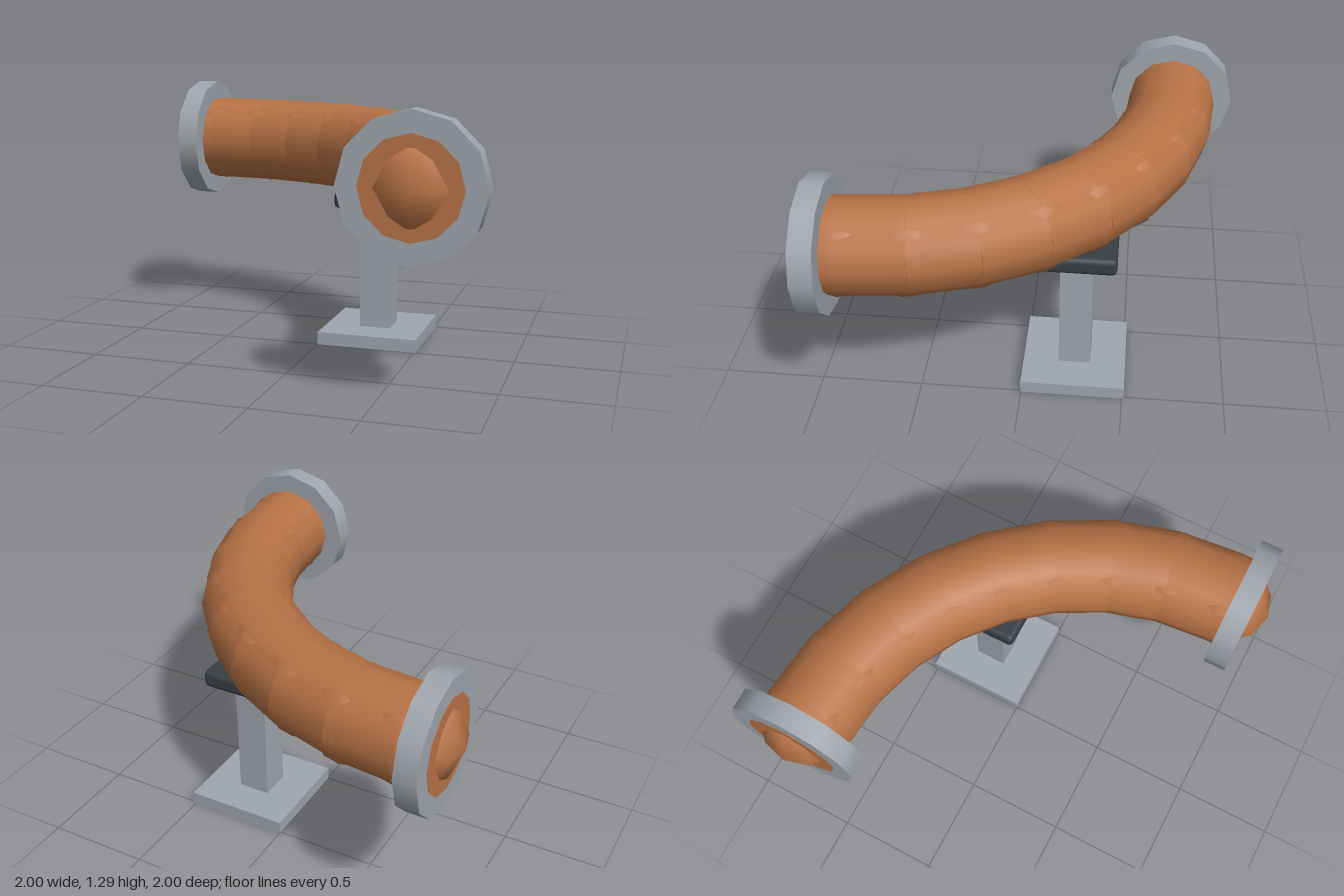
import * as THREE from 'three';
import { RoundedBoxGeometry } from 'three/addons/geometries/RoundedBoxGeometry.js';

const PIPE_Y = 0.97, PIPE_R = 0.225, BEND_R = 1.45, START = 0.77, STEPS = 8;
const FLANGE_IN = 0.818, FLANGE_OUT = 0.925, STAND = 0.254;

function mat(name, color) {
  const m = new THREE.MeshStandardMaterial({ color });
  m.name = name;
  return m;
}

export function createModel() {
  const copper = mat('copper', 0xb87346);
  const steel = mat('steel', 0xa0a6ae);
  const rubber = mat('darkRubber', 0x373e44);
  const model = new THREE.Group();
  model.name = 'pipeBend';

  function add(name, geometry, material, x, y, z) {
    const mesh = new THREE.Mesh(geometry, material);
    mesh.name = name;
    mesh.position.set(x, y, z);
    model.add(mesh);
    return mesh;
  }

  // Twelve-sided cylinder between two points, optionally lengthened at both ends
  function rod(name, a, b, radius, material, extra = 0) {
    const dir = b.clone().sub(a);
    const mid = a.clone().add(b).multiplyScalar(0.5);
    const geo = new THREE.CylinderGeometry(radius, radius, dir.length() + extra, 12);
    geo.rotateX(Math.PI / 2);
    const mesh = add(name, geo, material, mid.x, mid.y, mid.z);
    mesh.rotation.y = Math.atan2(dir.x, dir.z);
    return mesh;
  }

  // Quarter-circle bend: straight lengths with a ball at every joint
  const joints = [];
  for (let i = 0; i <= STEPS; i++) {
    const a = (i / STEPS) * Math.PI / 2;
    joints.push(new THREE.Vector3(
      -START + BEND_R * Math.sin(a), PIPE_Y, START - BEND_R * Math.cos(a)));
  }
  joints.forEach((p, i) => {
    add('pipeJoint', new THREE.SphereGeometry(0.23, 12, 4), copper, p.x, p.y, p.z);
    if (i > 0) rod('pipeSegment', joints[i - 1], p, PIPE_R, copper, 0.04);
  });

  // Straight pipe ends and their flanges
  const ends = [
    [joints[0], new THREE.Vector3(-1, 0, 0)],
    [joints[STEPS], new THREE.Vector3(0, 0, 1)],
  ];
  for (const [p, dir] of ends) {
    const along = d => p.clone().addScaledVector(dir, d - START);
    rod('pipeEnd', p, along(FLANGE_OUT + 0.002), PIPE_R, copper);
    rod('flange', along(FLANGE_IN), along(FLANGE_OUT), 0.32, steel);
  }

  // Stand: base plate, post and padded saddle under the middle of the bend
  add('basePlate', new THREE.BoxGeometry(0.512, 0.065, 0.512), steel, STAND, 0.0325, -STAND);
  add('post', new THREE.BoxGeometry(0.16, 0.65, 0.16), steel, STAND, 0.385, -STAND);
  add('saddle', new RoundedBoxGeometry(0.384, 0.09, 0.384, 2, 0.026), rubber, STAND, 0.743, -STAND);

  return model;
}
